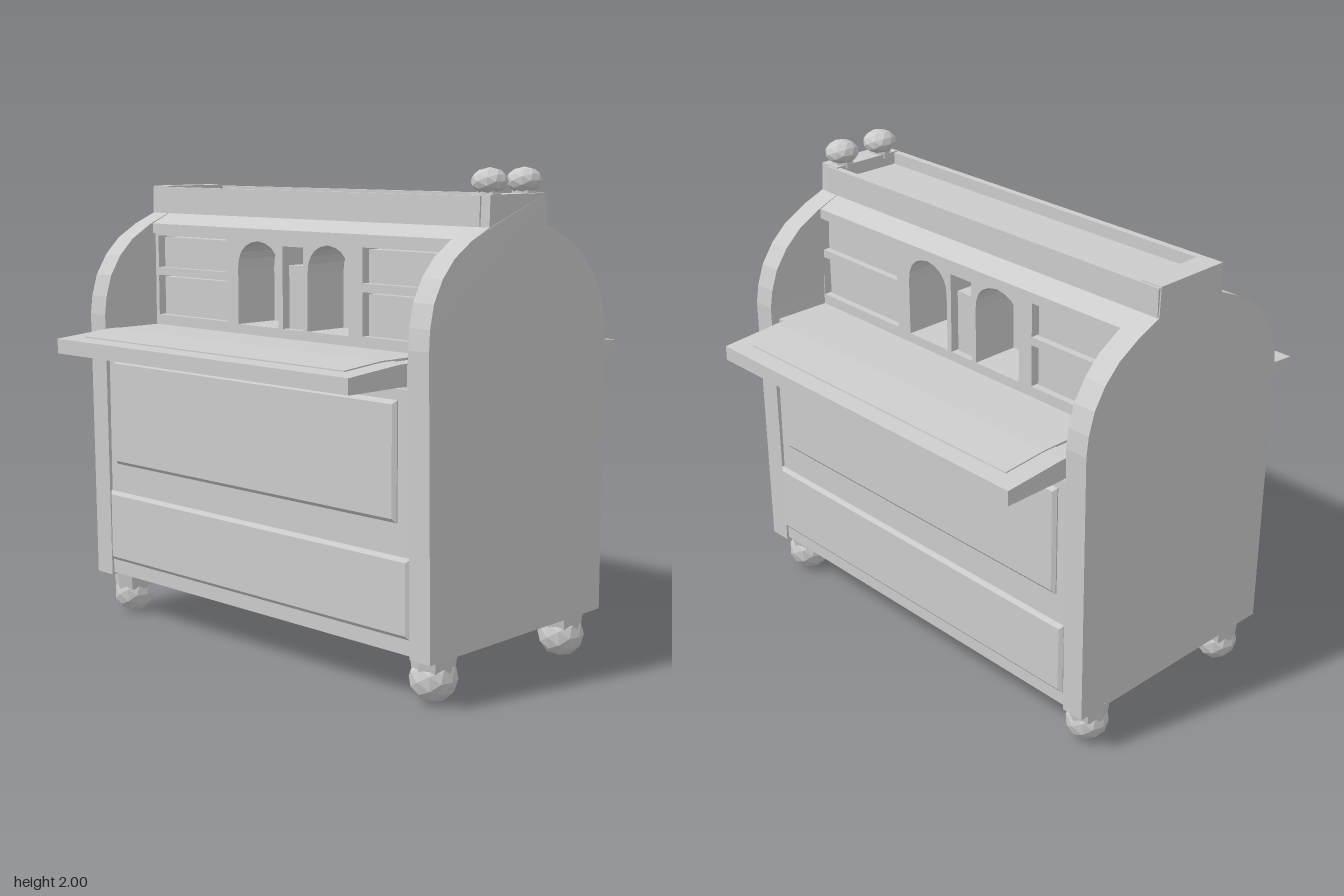
import * as THREE from 'three';

const material = new THREE.MeshStandardMaterial({ color: 0xcccccc, flatShading: true, side: THREE.DoubleSide });

export function createModel() {
  const root = new THREE.Group();

  function add(name, geometry, x = 0, y = 0, z = 0, parent = root) {
    const mesh = new THREE.Mesh(geometry, material);
    mesh.name = name;
    mesh.position.set(x, y, z);
    parent.add(mesh);
    return mesh;
  }

  // Box given by its limits on each axis
  function box(name, x0, x1, y0, y1, z0, z1) {
    return add(name, new THREE.BoxGeometry(x1 - x0, y1 - y0, z1 - z0),
      (x0 + x1) / 2, (y0 + y1) / 2, (z0 + z1) / 2);
  }

  // Prism along x from a cross-section of [z, y] points
  function prism(points, x0, x1) {
    const shape = new THREE.Shape(points.map(([z, y]) => new THREE.Vector2(z, y)));
    const geometry = new THREE.ExtrudeGeometry(shape, { depth: x1 - x0, bevelEnabled: false });
    return geometry.rotateY(-Math.PI / 2).translate(x1, 0, 0);
  }

  // Thin panel with chamfered border, facing front (s = 1) or back (s = -1)
  function raisedPanel(name, x0, x1, y0, y1, z, s) {
    const b = 0.015;
    const shape = new THREE.Shape([[x0 + b, y0 + b], [x1 - b, y0 + b], [x1 - b, y1 - b], [x0 + b, y1 - b]]
      .map(p => new THREE.Vector2(...p)));
    const geometry = new THREE.ExtrudeGeometry(shape,
      { depth: 0.005, bevelThickness: 0.012, bevelSize: b, bevelSegments: 1 });
    if (s < 0) geometry.rotateY(Math.PI).translate(x0 + x1, 0, 0);
    add(name, geometry, 0, 0, s * z);
  }

  // Curved end panels, the one on +x leaning inwards towards the top
  const half = [[0.53, 0.19], [0.54, 1.35], [0.53, 1.43], [0.503, 1.52], [0.45, 1.605],
    [0.38, 1.675], [0.28, 1.735], [0.175, 1.78], [0.17, 1.9]];
  const outline = [...half, ...half.slice().reverse().map(([z, y]) => [-z, y])];
  add('leftEndPanel', prism(outline, 0.88, 0.98));
  add('rightEndPanel', prism(outline, -0.99, -0.89));
  const lean = root.children[0].geometry.attributes.position;
  for (let i = 0; i < lean.count; i++) {
    const y = lean.getY(i);
    if (y > 1.2) lean.setX(i, lean.getX(i) - 0.038 * Math.min(1, (y - 1.2) / 0.6));
  }
  lean.needsUpdate = true;

  // Carcass and desk floor
  box('carcass', -0.9, 0.9, 0.2, 1.2, -0.52, 0.52);
  box('deskFloor', -0.89, 0.885, 1.2, 1.29, -0.5, 0.5);

  // Roof rail and open trough on top
  add('roofRail', prism([[0.265, 1.695], [0.265, 1.737], [0.17, 1.78],
    [-0.17, 1.78], [-0.265, 1.737], [-0.265, 1.695]], -0.9, 0.87));
  add('topTrough', prism([[-0.18, 1.78], [0.18, 1.78], [0.18, 1.895], [0.15, 1.895], [0.15, 1.845],
    [-0.15, 1.845], [-0.15, 1.895], [-0.18, 1.895]], -0.985, 0.9));

  // Pigeonhole unit, cut right through and closed by a middle wall
  const plate = new THREE.Shape([[-0.89, 1.28], [0.88, 1.28], [0.88, 1.7], [-0.89, 1.7]]
    .map(p => new THREE.Vector2(...p)));
  function opening(x0, x1, y0, y1, arched = false) {
    const hole = new THREE.Path();
    hole.moveTo(x0, y0);
    hole.lineTo(x1, y0);
    if (arched) {
      const mid = (x0 + x1) / 2;
      hole.lineTo(x1, y1 - 0.12);
      hole.quadraticCurveTo(x1, y1 - 0.01, mid, y1);
      hole.quadraticCurveTo(x0, y1 - 0.01, x0, y1 - 0.12);
    } else {
      hole.lineTo(x1, y1);
      hole.lineTo(x0, y1);
    }
    hole.closePath();
    plate.holes.push(hole);
  }
  const drawers = [];
  for (const [x0, x1] of [[-0.87, -0.42], [0.37, 0.865]]) {
    for (const [y0, y1] of [[1.335, 1.51], [1.545, 1.685]]) {
      opening(x0, x1, y0, y1);
      drawers.push([x0, x1, y0, y1]);
    }
  }
  opening(-0.35, -0.105, 1.33, 1.685, true);
  opening(0.065, 0.295, 1.33, 1.685, true);
  opening(-0.08, 0.04, 1.33, 1.67);
  drawers.push([-0.08, 0.04, 1.33, 1.6]);
  add('pigeonholes', new THREE.ExtrudeGeometry(plate,
    { depth: 0.5, bevelEnabled: false, curveSegments: 5 }), 0, 0, -0.25);
  box('middleWall', -0.89, 0.88, 1.28, 1.7, -0.04, 0.04);

  for (const s of [1, -1]) {
    const face = s > 0 ? 'front' : 'back';
    // Small drawers inside the pigeonholes
    for (const [x0, x1, y0, y1] of drawers) {
      box(face + 'SmallDrawer', x0 + 0.008, x1 - 0.008, y0, y1 - 0.008,
        Math.min(s * 0.04, s * 0.22), Math.max(s * 0.04, s * 0.22));
    }

    // Fold-down writing board with a slightly raised field
    const section = points => points.map(([z, y]) => [s * z, y]);
    add(face + 'WritingBoard', prism(section([[0.48, 1.21], [0.81, 1.21], [0.81, 1.272],
      [0.54, 1.294], [0.48, 1.294]]), -0.87, 0.83));
    add(face + 'BoardField', prism(section([[0.3, 1.285], [0.735, 1.27], [0.735, 1.283],
      [0.54, 1.299], [0.3, 1.299]]), -0.78, 0.74));

    // Large drawer fronts below
    raisedPanel(face + 'UpperDrawer', -0.84, 0.81, 0.7, 1.16, 0.525, s);
    raisedPanel(face + 'LowerDrawer', -0.885, 0.88, 0.265, 0.575, 0.525, s);

    // Bun feet with collars
    for (const [x, r] of [[-0.9, 0.088], [0.885, 0.095]]) {
      const foot = new THREE.Group();
      foot.name = face + 'Foot';
      foot.position.set(x, 0, s * 0.4);
      add('bun', new THREE.IcosahedronGeometry(r, 1), 0, r, 0, foot);
      add('collar', new THREE.CylinderGeometry(0.092, 0.082, 0.09, 8), 0, 0.16, 0, foot);
      root.add(foot);
    }

    // Finials at one end only
    const finial = new THREE.Group();
    finial.name = face + 'Finial';
    finial.position.set(0.885, 0, s * 0.105);
    const ball = new THREE.IcosahedronGeometry(1, 1).scale(0.07, 0.052, 0.075);
    add('ball', ball, 0, 1.948, 0, finial);
    add('neck', new THREE.CylinderGeometry(0.045, 0.05, 0.04, 7), 0, 1.905, 0, finial);
    root.add(finial);
  }
  return root;
}
